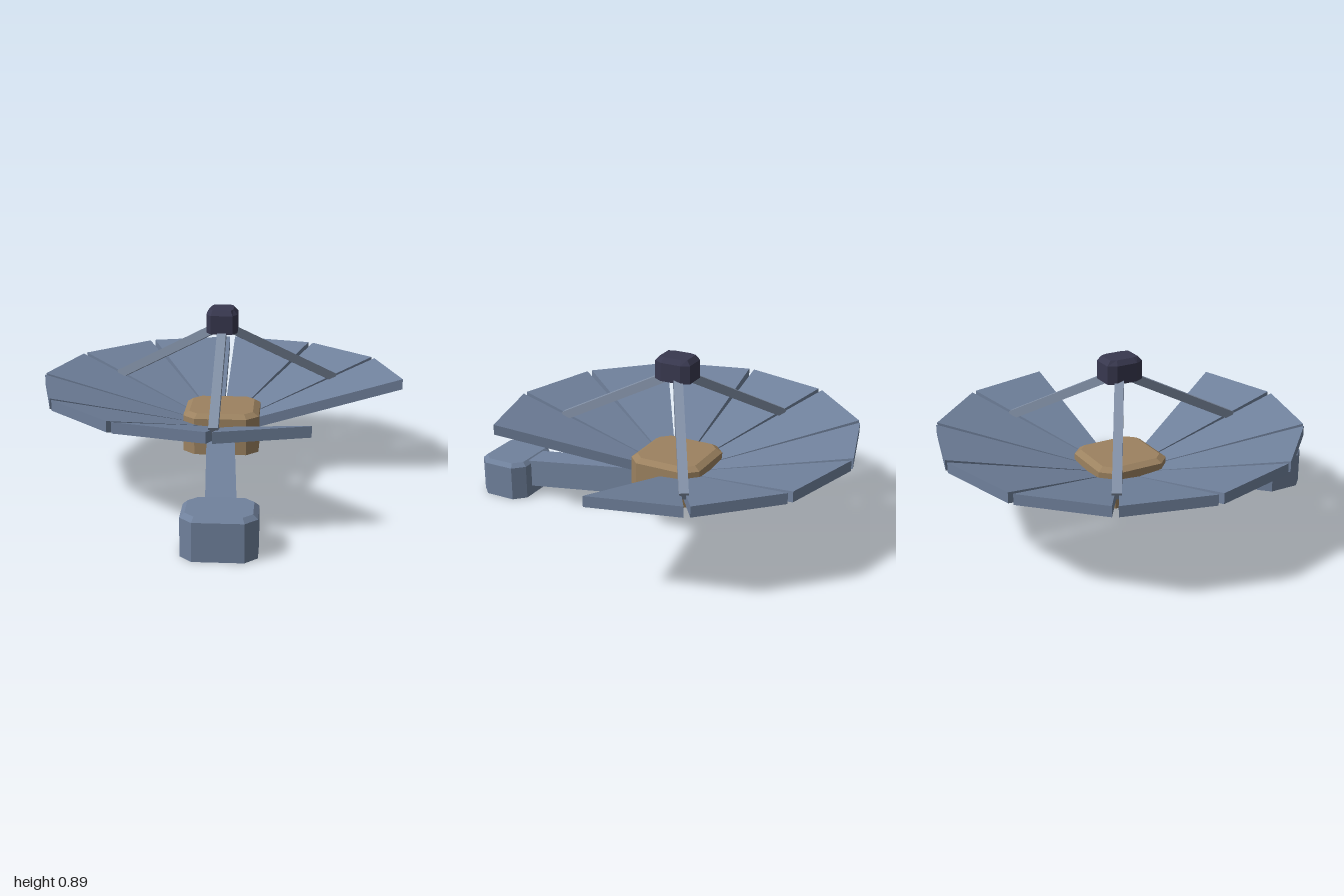
import * as THREE from 'three';

const paint = (color) => new THREE.MeshStandardMaterial({ color, flatShading: true });

// Closed solid through matching rings of points (counter-clockwise seen from the last ring)
function loft(rings) {
  const pos = [];
  const tri = (a, b, c) => pos.push(...a, ...b, ...c);
  const n = rings[0].length;
  for (let r = 0; r < rings.length - 1; r++) {
    const lo = rings[r], hi = rings[r + 1];
    for (let i = 0; i < n; i++) {
      const j = (i + 1) % n;
      tri(lo[i], lo[j], hi[j]);
      tri(lo[i], hi[j], hi[i]);
    }
  }
  const first = rings[0], last = rings[rings.length - 1];
  for (let i = 1; i < n - 1; i++) {
    tri(first[0], first[i + 1], first[i]);
    tri(last[0], last[i], last[i + 1]);
  }
  const geo = new THREE.BufferGeometry();
  geo.setAttribute('position', new THREE.Float32BufferAttribute(pos, 3));
  geo.computeVertexNormals();
  return geo;
}

// Octagonal block with cut corners and a bevelled top
function block(hx, hz, cutX, cutZ, y0, y1, bevel, inset) {
  const ring = (y, d) => {
    const x = hx - d, z = hz - d, cx = cutX - d * 0.58, cz = cutZ - d * 0.58;
    return [
      [x - cx, y, z], [x, y, z - cz], [x, y, cz - z], [x - cx, y, -z],
      [cx - x, y, -z], [-x, y, cz - z], [-x, y, z - cz], [cx - x, y, z],
    ];
  };
  return loft([ring(y0, 0), ring(y1 - bevel, 0), ring(y1, inset)]);
}

// Square bar between two points
function bar(from, to, width, height, material) {
  const a = new THREE.Vector3(...from), b = new THREE.Vector3(...to);
  const mesh = new THREE.Mesh(new THREE.BoxGeometry(width, height, a.distanceTo(b)), material);
  mesh.position.copy(a).add(b).multiplyScalar(0.5);
  mesh.lookAt(b);
  return mesh;
}

export function createModel() {
  const model = new THREE.Group();
  const blue = paint(0x70819c), tan = paint(0x9c8260), dark = paint(0x38384f), steel = paint(0x8290a6);
  const add = (name, object, parent = model) => {
    object.name = name;
    parent.add(object);
    return object;
  };

  // Everything on the dish axis shares this centre
  const dish = add('dish', new THREE.Group());
  dish.position.z = -0.09;

  add('hub', new THREE.Mesh(block(0.19, 0.19, 0.06, 0.06, 0.175, 0.38, 0.02, 0.03), tan), dish);

  // Ten of twelve flat panels; two are missing at the front left
  const half = THREE.MathUtils.degToRad(14.1);
  const edge = (r, y) => {
    const s = r * Math.sin(half), c = r * Math.cos(half);
    return [[-s, y, c], [s, y, c], [s, y + 0.053, c], [-s, y + 0.053, c]];
  };
  const panelGeo = loft([edge(0.17, 0.26), edge(0.912, 0.475)]);
  for (let k = 0; k < 12; k++) {
    if (k === 1 || k === 2) continue;
    const panel = add('dishPanel', new THREE.Mesh(panelGeo, blue), dish);
    panel.rotation.y = THREE.MathUtils.degToRad(15 + 30 * k);
  }

  // Tripod and receiver above the dish
  for (let k = 0; k < 3; k++) {
    const leg = add('tripodLeg', new THREE.Group(), dish);
    add('strut', bar([0, 0.79, 0.02], [0, 0.45, 0.66], 0.045, 0.045, steel), leg);
    leg.rotation.y = (k * Math.PI * 2) / 3;
  }
  add('receiver', new THREE.Mesh(block(0.077, 0.095, 0.023, 0.042, 0.77, 0.887, 0.024, 0.02), dark), dish);

  // Arm and weight under the dish
  add('arm', bar([0, 0.2, 0.07], [0.05, 0.115, 0.8], 0.14, 0.145, blue));
  const weight = add('counterweight', new THREE.Mesh(block(0.17, 0.137, 0.056, 0.056, 0, 0.2, 0.02, 0.022), blue));
  weight.position.set(0.05, 0, 0.863);

  return model;
}
